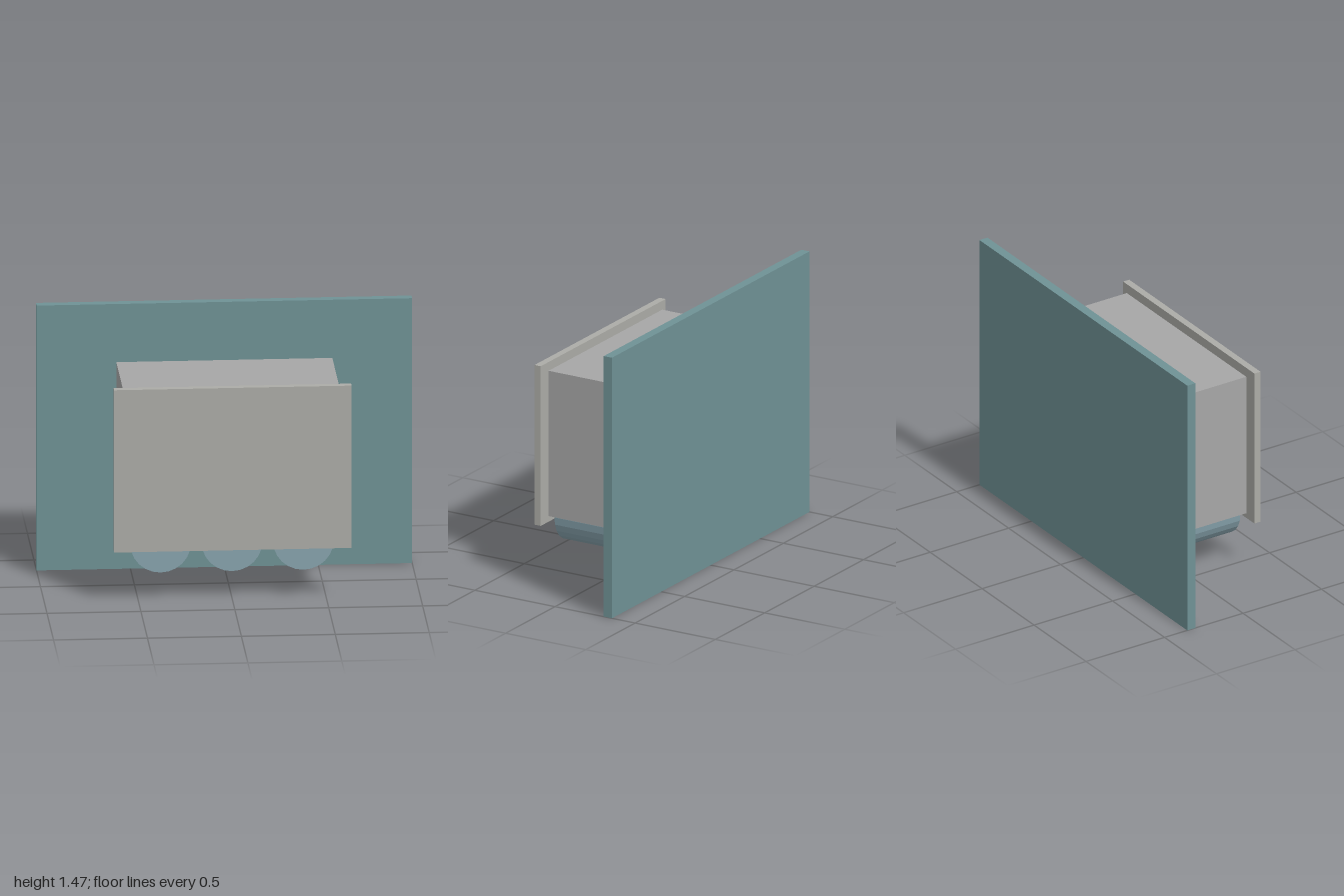
import * as THREE from 'three';

// Box given by its lower and upper corner
function slab(name, color, min, max) {
  const size = max.map((v, i) => v - min[i]);
  const mesh = new THREE.Mesh(
    new THREE.BoxGeometry(...size),
    new THREE.MeshStandardMaterial({ color })
  );
  mesh.position.set(...max.map((v, i) => (v + min[i]) / 2));
  mesh.name = name;
  return mesh;
}

export function createModel() {
  const group = new THREE.Group();
  group.name = 'wallUnit';

  // Large upright plate, the box on it and the cover held just off the box
  group.add(slab('backPlate', 0x6f9295, [-1, 0, -0.355], [1, 1.467, -0.304]));
  group.add(slab('body', 0xa6a6a6, [-0.575, 0.327, -0.304], [0.575, 1.145, 0.302]));
  group.add(slab('frontCover', 0xacaca7, [-0.632, 0.286, 0.316], [0.632, 1.185, 0.355]));

  // Row of horizontal cylinders sunk into the underside of the body
  const radius = 0.162, length = 0.56;
  const geometry = new THREE.CylinderGeometry(radius, radius, length, 24).rotateX(Math.PI / 2);
  const material = new THREE.MeshStandardMaterial({ color: 0x87a3ad, flatShading: true });
  ['right', 'middle', 'left'].forEach((side, i) => {
    const cylinder = new THREE.Mesh(geometry, material);
    cylinder.position.set((i - 1) * 0.38, 0.15 + radius, 0.006);
    cylinder.name = side + 'Cylinder';
    group.add(cylinder);
  });

  return group;
}
